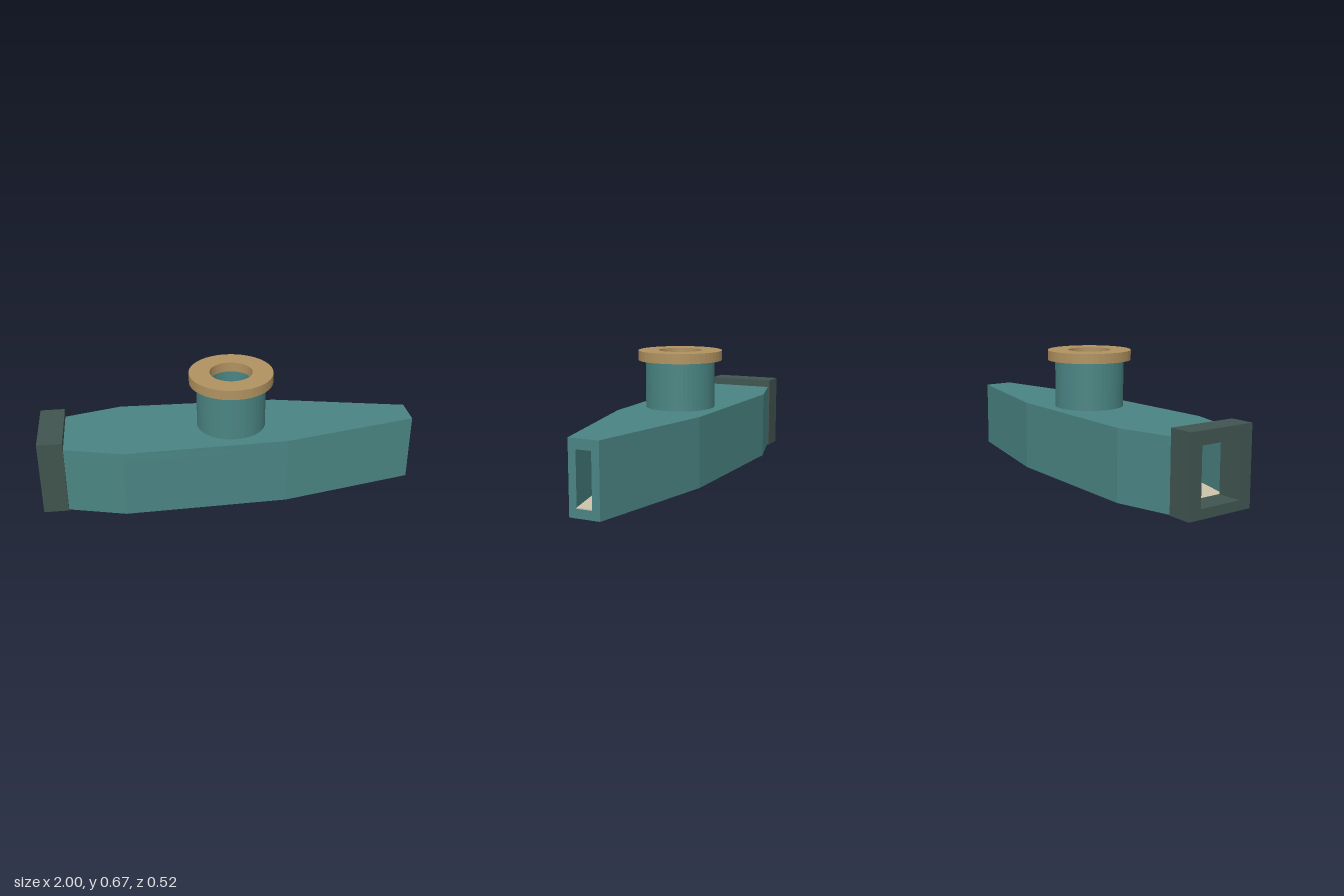
import * as THREE from 'three';

// Half outline of the body seen from above: [x, half width]
const OUTLINE = [[-0.87, 0.18], [-0.57, 0.26], [0.285, 0.235], [1, 0.08]];
const WALL = 0.04;
const HEIGHT = 0.365;
const FLOOR = 0.045;
const ROOF = 0.315;
const PORT_X = 0.017;
const BORE = 0.113;

const material = (name, color) => {
  const m = new THREE.MeshStandardMaterial({ color });
  m.name = name;
  return m;
};

const shapeOf = (points) => new THREE.Shape(points.map(([x, y]) => new THREE.Vector2(x, y)));

// Closed plan shape between two half outlines
const band = (inset) => {
  const top = OUTLINE.map(([x, w]) => [x, w - inset]);
  const bottom = top.map(([x, w]) => [x, -w]).reverse();
  return shapeOf([...bottom.reverse(), ...top.reverse()]);
};

// Extrude a plan shape upwards from y0 to y1
const slab = (shape, y0, y1) => {
  const g = new THREE.ExtrudeGeometry(shape, { depth: y1 - y0, bevelEnabled: false, curveSegments: 24 });
  return g.rotateX(-Math.PI / 2).translate(0, y0, 0);
};

const circleHole = (x, r) => new THREE.Path().absarc(x, 0, r, 0, Math.PI * 2, true);

const annulus = (outer, inner) => {
  const s = new THREE.Shape().absarc(PORT_X, 0, outer, 0, Math.PI * 2, false);
  s.holes.push(circleHole(PORT_X, inner));
  return s;
};

export function createModel() {
  const model = new THREE.Group();
  const teal = material('teal', 0x4a8583);
  const brass = material('brass', 0xb09260);
  const dark = material('dark grey green', 0x40544f);
  const cream = material('cream', 0xcdc4ac);

  const add = (name, geometry, mat) => {
    const mesh = new THREE.Mesh(geometry, mat);
    mesh.name = name;
    model.add(mesh);
  };

  // Hollow body: floor, two side walls, roof with a round opening
  add('bodyFloor', slab(band(0), 0, FLOOR), teal);
  for (const side of [1, -1]) {
    const outer = OUTLINE.map(([x, w]) => [x, w * side]);
    const inner = OUTLINE.map(([x, w]) => [x, (w - WALL) * side]).reverse();
    add(side > 0 ? 'rightWall' : 'leftWall', slab(shapeOf([...outer, ...inner]), FLOOR, ROOF), teal);
  }
  const roof = band(0);
  roof.holes.push(circleHole(PORT_X, BORE));
  add('bodyRoof', slab(roof, ROOF, HEIGHT), teal);

  // Pale lining on the inside floor
  add('floorLining', slab(band(WALL), FLOOR, FLOOR + 0.006), cream);

  // Rectangular collar around the wide end
  const frame = shapeOf([[-0.19, 0], [0.19, 0], [0.19, 0.407], [-0.19, 0.407]]);
  frame.holes.push(new THREE.Path([[-0.12, 0.05], [-0.12, 0.34], [0.12, 0.34], [0.12, 0.05]]
    .map(([x, y]) => new THREE.Vector2(x, y))));
  const collar = new THREE.ExtrudeGeometry(frame, { depth: 0.13, bevelEnabled: false });
  add('endCollar', collar.rotateY(Math.PI / 2).translate(-1, 0, 0), dark);

  // Upright pipe and its rim
  add('pipe', slab(annulus(0.183, BORE), HEIGHT, 0.615), teal);
  add('pipeRim', slab(annulus(0.222, BORE), 0.615, 0.667), brass);

  return model;
}
